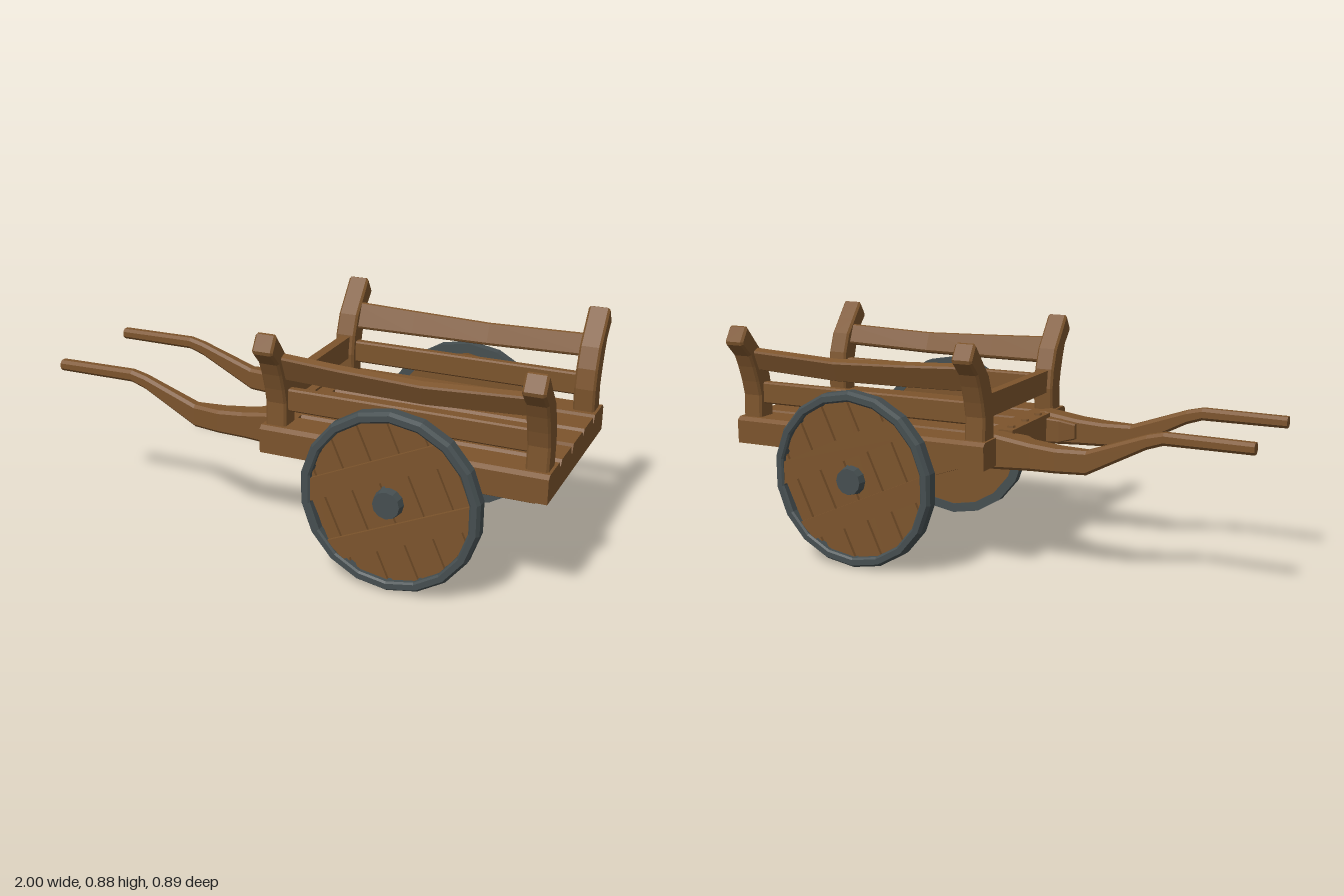
import * as THREE from 'three';

const wood = new THREE.MeshStandardMaterial({ color: 0x7c542c });
const iron = new THREE.MeshStandardMaterial({ color: 0x454e50 });
wood.name = 'wood';
iron.name = 'iron';

// Faceted mesh
function part(name, geo, mat = wood) {
  const g = geo.index ? geo.toNonIndexed() : geo;
  g.computeVertexNormals();
  const m = new THREE.Mesh(g, mat);
  m.name = name;
  return m;
}

function box(name, x0, x1, y0, y1, z0, z1) {
  const g = new THREE.BoxGeometry(x1 - x0, y1 - y0, Math.abs(z1 - z0));
  g.translate((x0 + x1) / 2, (y0 + y1) / 2, (z0 + z1) / 2);
  return part(name, g);
}

// Chamfered beam lofted along x; each section is [x, y, z, halfHeight, halfWidth, tilt]
function beam(name, sections, c = 0.01) {
  const pos = [], idx = [], n = 8;
  for (const [x, y, z, h, w, tilt = 0] of sections) {
    const ring = [[h, c - w], [h, w - c], [h - c, w], [c - h, w], [-h, w - c], [-h, c - w], [c - h, -w], [h - c, -w]];
    const co = Math.cos(tilt), si = Math.sin(tilt);
    for (const [a, b] of ring) pos.push(x, y + a * co - b * si, z + a * si + b * co);
  }
  const last = (sections.length - 1) * n;
  for (let k = 0; k < last; k += n) {
    for (let i = 0; i < n; i++) {
      const j = (i + 1) % n;
      idx.push(k + i, k + j, k + n + j, k + i, k + n + j, k + n + i);
    }
  }
  for (let i = 1; i < n - 1; i++) idx.push(0, i + 1, i, last, last + i, last + i + 1);
  const g = new THREE.BufferGeometry();
  g.setAttribute('position', new THREE.Float32BufferAttribute(pos, 3));
  g.setIndex(idx);
  return part(name, g);
}

// Outline given in (z, y), extruded from x0 to x1
function slab(name, pts, x0, x1, bevel) {
  const shape = new THREE.Shape(pts.map(([z, y]) => new THREE.Vector2(z, y)));
  const g = new THREE.ExtrudeGeometry(shape, {
    depth: x1 - x0 - 2 * bevel, bevelEnabled: bevel > 0, bevelThickness: bevel,
    bevelSize: bevel, bevelOffset: -bevel, bevelSegments: 1,
  });
  g.rotateY(-Math.PI / 2);
  g.translate(x1 - bevel, 0, 0);
  return part(name, g);
}

// Board cut to a circle of radius r, between two parallel chords
function chordBoard(name, u0, u1, r, z0, depth, vertical) {
  const v = (u) => Math.sqrt(Math.max(r * r - u * u, 0));
  const pts = [[u0, -v(u0)], [u1, -v(u1)], [u1, v(u1)], [u0, v(u0)]];
  const shape = new THREE.Shape(pts.map(([u, w]) => (vertical ? new THREE.Vector2(u, w) : new THREE.Vector2(w, u))));
  const g = new THREE.ExtrudeGeometry(shape, { depth, bevelEnabled: false });
  g.translate(0, 0, z0);
  return part(name, g);
}

function disc(name, r0, r1, z0, z1, sides, mat) {
  const g = new THREE.CylinderGeometry(r1, r0, z1 - z0, sides);
  g.rotateX(Math.PI / 2);
  g.translate(0, 0, (z0 + z1) / 2);
  return part(name, g, mat);
}

// Wheel with its outer side facing +z
function wheel() {
  const w = new THREE.Group();
  const profile = [[0.298, 0.383], [0.336, 0.383], [0.336, 0.42], [0.326, 0.434], [0.305, 0.434], [0.298, 0.428], [0.298, 0.383]];
  const tyre = new THREE.LatheGeometry(profile.map(([r, z]) => new THREE.Vector2(r, z)), 18);
  tyre.rotateX(Math.PI / 2);
  w.add(part('tyre', tyre, iron));
  w.add(disc('wheelBacking', 0.302, 0.302, 0.387, 0.4, 18, wood));
  const boards = new THREE.Group();
  boards.name = 'wheelBoards';
  const pitch = 0.113;
  for (let i = -3; i < 3; i++) {
    const u0 = Math.max(i * pitch + 0.009, -0.285), u1 = Math.min((i + 1) * pitch - 0.009, 0.285);
    boards.add(chordBoard('wheelBoard', u0, u1, 0.3, 0.399, 0.014, true));
  }
  for (const d of [-0.118, 0.118]) boards.add(chordBoard('wheelBatten', d - 0.04, d + 0.04, 0.298, 0.412, 0.014, false));
  boards.rotation.z = 0.42;
  w.add(boards);
  w.add(disc('hubCap', 0.058, 0.05, 0.4, 0.445, 12, iron));
  w.add(disc('innerHubFlange', 0.062, 0.075, 0.353, 0.37, 12, iron));
  w.add(disc('innerHubPlate', 0.08, 0.08, 0.368, 0.39, 12, iron));
  return w;
}

export function createModel() {
  const cart = new THREE.Group();
  cart.name = 'handcart';

  // Bed: one cross-section with V grooves between the planks
  const top = [];
  for (const [z, d] of [[-0.225, 0.035], [-0.075, 0.02], [0.075, 0.04], [0.225, 0.025]]) {
    top.push([z - 0.016, 0.52], [z, 0.52 - d], [z + 0.016, 0.52]);
  }
  cart.add(slab('bed', [[-0.37, 0.418], [-0.37, 0.507], [-0.355, 0.52], ...top, [0.355, 0.52], [0.37, 0.507], [0.37, 0.418]], 0.025, 1, 0));

  // Front cross beam with its pegged plate
  cart.add(slab('frontBeam', [[-0.37, 0.418], [-0.37, 0.507], [-0.355, 0.52], [0.355, 0.52], [0.37, 0.507], [0.37, 0.418]], -0.06, 0.03, 0));
  cart.add(box('frontPlate', -0.08, -0.025, 0.42, 0.529, -0.172, 0.172));
  for (const z of [-0.12, 0, 0.12]) {
    const peg = new THREE.CylinderGeometry(0.016, 0.018, 0.02, 8);
    peg.translate(-0.052, 0.527, z);
    cart.add(part('peg', peg));
  }
  cart.add(beam('frontRail', [[-0.028, 0.632, 0, 0.043, 0.28], [0.01, 0.632, 0, 0.043, 0.28]], 0.006));

  // Axle
  cart.add(box('axle', 0.42, 0.5, 0.308, 0.376, -0.37, 0.37));

  for (const s of [1, -1]) {
    // Curved corner posts
    const outline = [[0.26, 0.43], [0.26, 0.52], [0.256, 0.605], [0.268, 0.68], [0.297, 0.757], [0.345, 0.815],
      [0.398, 0.88], [0.408, 0.878], [0.441, 0.825], [0.438, 0.812], [0.392, 0.765], [0.372, 0.72], [0.352, 0.66], [0.339, 0.605], [0.343, 0.52], [0.343, 0.43]];
    const pts = outline.map(([z, y]) => [s * z, y]);
    cart.add(slab('frontPost', pts, -0.05, 0.03, 0.008));
    cart.add(slab('rearPost', pts, 0.91, 0.99, 0.008));

    // Side rails, the upper one bowed and leaning outward
    cart.add(beam('lowerRail', [[-0.02, 0.612, s * 0.3, 0.042, 0.018], [0.95, 0.612, s * 0.3, 0.042, 0.018]], 0.006));
    cart.add(beam('upperRail', [
      [-0.02, 0.747, s * 0.335, 0.052, 0.018, s * 0.4], [0.25, 0.74, s * 0.347, 0.047, 0.018, s * 0.4],
      [0.55, 0.735, s * 0.354, 0.042, 0.018, s * 0.4], [0.95, 0.75, s * 0.338, 0.042, 0.018, s * 0.4],
    ], 0.006));

    // Pull shaft
    cart.add(beam('shaft', [
      [-1, 0.568, s * 0.224, 0.021, 0.022], [-0.68, 0.57, s * 0.222, 0.023, 0.021], [-0.62, 0.553, s * 0.222, 0.026, 0.022],
      [-0.4, 0.457, s * 0.226, 0.044, 0.026], [-0.29, 0.456, s * 0.227, 0.045, 0.04],
      [-0.19, 0.459, s * 0.222, 0.05, 0.044], [-0.05, 0.465, s * 0.222, 0.064, 0.045], [0.03, 0.458, s * 0.222, 0.056, 0.045],
    ], 0.011));
    cart.add(beam('shaftWedge', [
      [-0.19, 0.465, s * 0.17, 0.03, 0.012], [-0.13, 0.465, s * 0.157, 0.045, 0.018], [-0.05, 0.465, s * 0.157, 0.05, 0.022],
    ], 0.005));

    // Runner under the bed, tapered at the front
    cart.add(beam('runner', [[0.06, 0.406, s * 0.172, 0.014, 0.033], [0.22, 0.378, s * 0.172, 0.042, 0.033], [0.915, 0.378, s * 0.172, 0.042, 0.033]], 0.001));

    // Wheel
    const w = wheel();
    w.name = s > 0 ? 'frontSideWheel' : 'backSideWheel';
    w.position.set(0.46, 0.339, 0);
    if (s < 0) w.rotation.y = Math.PI;
    cart.add(w);
  }
  return cart;
}
